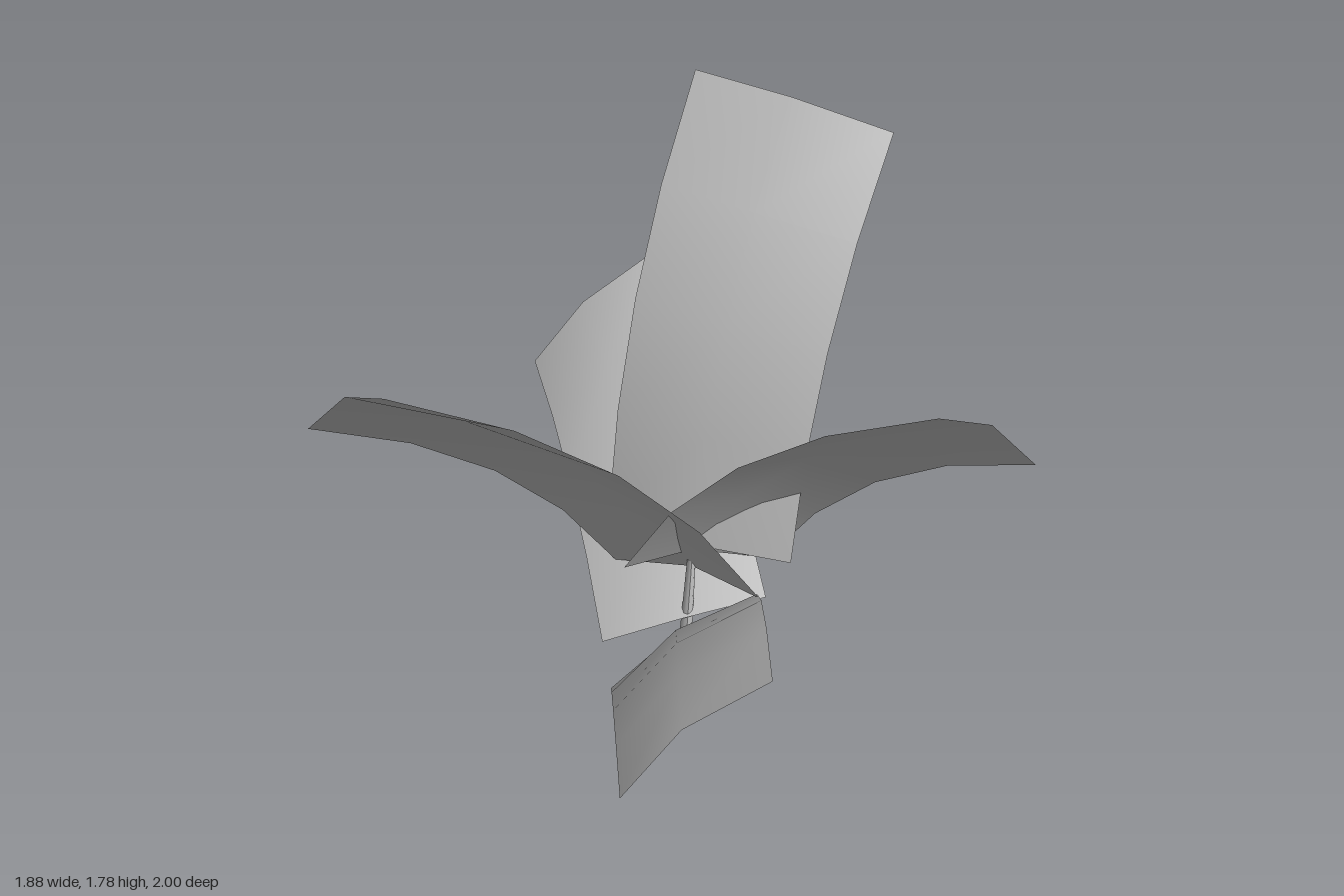
import * as THREE from 'three';

const leafGrey = new THREE.MeshStandardMaterial({ color: 0xc2c2c2, side: THREE.DoubleSide });
leafGrey.name = 'leafGrey';
const stemGrey = new THREE.MeshStandardMaterial({ color: 0xc6c6c6 });
stemGrey.name = 'stemGrey';

const SEGMENTS = 4;
const CAMBER = 0.045;

// Arc passing through base, middle and tip points
function edgeCurve([base, middle, tip]) {
  const a = new THREE.Vector3(...base);
  const b = new THREE.Vector3(...tip);
  const control = new THREE.Vector3(...middle).multiplyScalar(2)
    .addScaledVector(a, -0.5).addScaledVector(b, -0.5);
  return new THREE.QuadraticBezierCurve3(a, control, b);
}

// Curved sheet between two edges, its midline raised along the upper normal
function leafGeometry(edgeA, edgeB) {
  const curveA = edgeCurve(edgeA);
  const curveB = edgeCurve(edgeB);
  const positions = [];
  const index = [];
  for (let i = 0; i <= SEGMENTS; i++) {
    const t = i / SEGMENTS;
    const a = curveA.getPoint(t);
    const b = curveB.getPoint(t);
    const across = b.clone().sub(a);
    const along = curveA.getTangent(t).add(curveB.getTangent(t));
    const up = along.cross(across).normalize();
    const mid = a.clone().add(b).multiplyScalar(0.5).addScaledVector(up, CAMBER);
    for (const p of [a, mid, b]) positions.push(p.x, p.y, p.z);
  }
  for (let i = 0; i < SEGMENTS; i++) {
    for (let j = 0; j < 2; j++) {
      const k = i * 3 + j;
      index.push(k, k + 3, k + 1, k + 1, k + 3, k + 4);
    }
  }
  const geometry = new THREE.BufferGeometry();
  geometry.setAttribute('position', new THREE.Float32BufferAttribute(positions, 3));
  geometry.setIndex(index);
  geometry.computeVertexNormals();
  return geometry;
}

// Both long edges of each leaf: base, middle, tip
const leaves = {
  tallLeaf: [
    [[0.37, 0.52, 0.15], [0.465, 1.13, 0.02], [0.655, 1.675, -0.22]],
    [[-0.14, 0.53, -0.12], [-0.05, 1.19, -0.23], [0.135, 1.78, -0.46]],
  ],
  backLeaf: [
    [[0.32, 0.31, 0.03], [0.2, 0.71, -0.437], [0.04, 0.955, -1]],
    [[-0.17, 0.12, -0.03], [-0.25, 0.435, -0.453], [-0.35, 0.6, -0.945]],
  ],
  frontLeaf: [
    [[-0.15, 0.03, 0.083], [-0.16, 0.31, 0.51], [-0.165, 0.446, 0.995]],
    [[0.295, 0.22, -0.05], [0.25, 0.597, 0.42], [0.2, 0.8, 1]],
  ],
  rightLeaf: [
    [[-0.12, 0.32, -0.18], [-0.466, 0.757, -0.03], [-0.945, 1.04, 0.17]],
    [[0.27, 0.47, 0.245], [-0.13, 0.99, 0.38], [-0.692, 1.365, 0.583]],
  ],
  leftLeaf: [
    [[-0.11, 0.55, 0.18], [0.175, 1.02, 0.41], [0.6, 1.36, 0.755]],
    [[0.335, 0.373, -0.085], [0.597, 0.787, 0.15], [0.938, 1.04, 0.48]],
  ],
};

export function createModel() {
  const group = new THREE.Group();
  group.name = 'plant';

  for (const [name, [edgeA, edgeB]] of Object.entries(leaves)) {
    const leaf = new THREE.Mesh(leafGeometry(edgeA, edgeB), leafGrey);
    leaf.name = name;
    group.add(leaf);
  }

  // Thin tapering stem, leaning slightly
  const height = 0.53;
  const stemGeometry = new THREE.CylinderGeometry(0.011, 0.023, height, 8);
  stemGeometry.translate(0, height / 2, 0);
  const position = stemGeometry.attributes.position;
  for (let i = 0; i < position.count; i++) {
    const t = position.getY(i) / height;
    position.setX(i, position.getX(i) + 0.025 * t);
    position.setZ(i, position.getZ(i) + 0.02 * t);
  }
  stemGeometry.computeVertexNormals();
  const stem = new THREE.Mesh(stemGeometry, stemGrey);
  stem.name = 'stem';
  stem.position.set(0.075, 0, 0);
  group.add(stem);

  return group;
}
